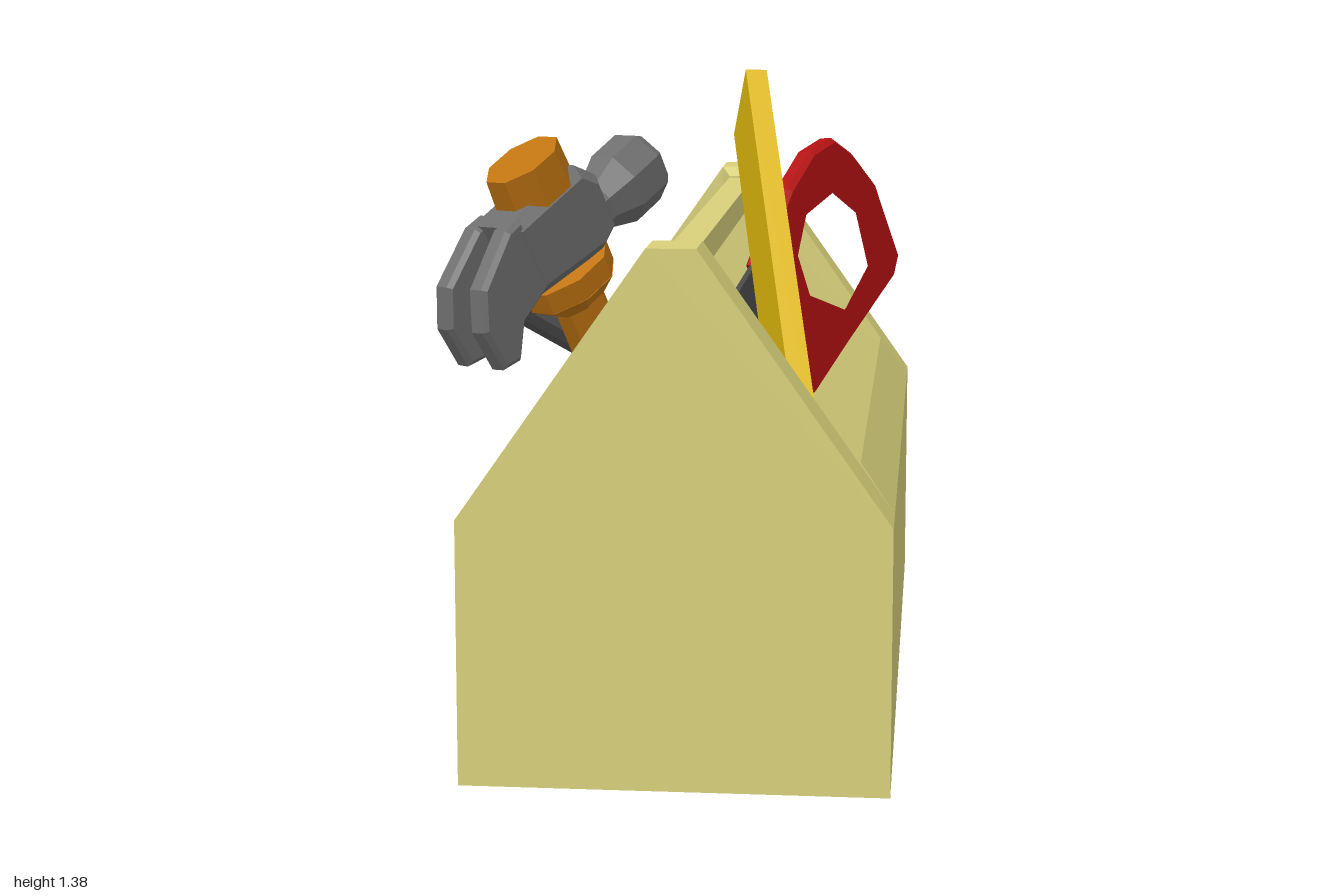
import * as THREE from 'three';

const mat = (name, color) => {
  const m = new THREE.MeshStandardMaterial({ color, flatShading: true });
  m.name = name;
  return m;
};

// Group whose local X runs along x and whose local Y lies closest to y
function frame(name, origin, x, y) {
  const X = new THREE.Vector3(...x).normalize();
  const Z = X.clone().cross(new THREE.Vector3(...y)).normalize();
  const Y = Z.clone().cross(X);
  const g = new THREE.Group();
  g.name = name;
  g.applyMatrix4(new THREE.Matrix4().makeBasis(X, Y, Z).setPosition(...origin));
  return g;
}

function add(parent, name, geometry, material, pos = [0, 0, 0]) {
  const m = new THREE.Mesh(geometry, material);
  m.name = name;
  m.position.set(...pos);
  parent.add(m);
  return m;
}

const pts = (list) => list.map(([x, y]) => new THREE.Vector2(x, y));

// Slab from an outline, centred on z = 0
function slab(outline, depth, hole, bevel = 0) {
  const s = new THREE.Shape(pts(outline));
  if (hole) s.holes.push(new THREE.Path(pts(hole)));
  const g = new THREE.ExtrudeGeometry(s, {
    depth: depth - 2 * bevel, bevelEnabled: bevel > 0, bevelThickness: bevel,
    bevelSize: bevel, bevelOffset: -bevel, bevelSegments: 1,
  });
  return g.translate(0, 0, bevel - depth / 2);
}

// Square bar along z, with half sizes scaled by the two radii
function bar(r1, r2, length) {
  return new THREE.CylinderGeometry(r1 * Math.SQRT2, r2 * Math.SQRT2, length, 4)
    .rotateY(Math.PI / 4).rotateX(Math.PI / 2);
}

export function createModel() {
  const model = new THREE.Group();
  model.name = 'toolbox';
  const wood = mat('pale wood', 0xd8d07a);
  const yellow = mat('ruler yellow', 0xdcb60e);
  const red = mat('saw red', 0xb31111);
  const blade = mat('blade grey', 0x474747);
  const steel = mat('hammer steel', 0x6e6e6e);
  const shaftGrey = mat('shaft grey', 0x565656);
  const orange = mat('handle orange', 0xc07412);
  const navy = mat('grip navy', 0x0e2c3c);

  // Box: two gabled ends joined by a trough
  const box = new THREE.Group();
  box.name = 'box';
  model.add(box);
  const gable = [[-0.38, 0], [0.495, 0], [0.495, 0.55], [0.105, 1.1], [0.005, 1.1], [-0.38, 0.55]];
  for (const s of [1, -1]) add(box, 'endWall', slab(gable, 0.142), wood, [0, 0, s * 0.929]);
  const trough = [[-0.38, 0], [0.495, 0], [0.495, 0.55], [0.425, 0.655], [0.425, 0.1],
    [-0.31, 0.1], [-0.31, 0.655], [-0.38, 0.55]];
  add(box, 'trough', slab(trough, 1.716), wood);

  // Carrying rail with flared ends
  add(box, 'rail', bar(0.031, 0.031, 1.7), wood, [0.055, 1.042, 0]);
  for (const s of [1, -1]) {
    const flare = bar(s > 0 ? 0.05 : 0.031, s > 0 ? 0.031 : 0.05, 0.03);
    add(box, 'railFlare', flare.scale(1, 1.15, 1), wood, [0.055, 1.042, s * 0.843]);
  }

  // Ruler leaning against the rail
  const ruler = frame('ruler', [0.215, 0.789, 0.024], [0.154, -0.673, 0.724], [-0.176, -0.739, -0.651]);
  add(ruler, 'rulerBar', new THREE.BoxGeometry(1.49, 0.23, 0.052), yellow);
  model.add(ruler);

  // Saw: x runs to the tip, y runs to the cutting edge
  const saw = frame('saw', [0.124, 0.91, -0.29], [-0.323, -0.532, 0.783], [0.32, -0.84, -0.438]);
  model.add(saw);
  add(saw, 'sawBlade', slab([[-0.03, 0], [1.32, 0], [1.32, 0.1], [-0.03, 0.4]], 0.016), blade);
  const grip = [[0, 0], [-0.236, -0.053], [-0.39, -0.055], [-0.503, -0.015], [-0.561, 0.075],
    [-0.605, 0.204], [-0.582, 0.428], [-0.52, 0.455], [-0.2, 0.425], [0, 0.41]];
  const gripHole = [[-0.14, 0.083], [-0.252, 0.029], [-0.405, 0.072], [-0.474, 0.193],
    [-0.428, 0.348], [-0.241, 0.355], [-0.118, 0.206]];
  add(saw, 'sawGrip', slab(grip, 0.055, gripHole, 0.012), red);

  // Hammer: x runs to the striking face, y runs up the handle
  const hammer = frame('hammer', [-0.26, 1.07, 0.455], [0.493, 0.472, -0.729], [-0.282, 0.881, 0.379]);
  model.add(hammer);
  const oval = (name, rTop, rBottom, h, y, squash) =>
    add(hammer, name, new THREE.CylinderGeometry(rTop, rBottom, h, 8).rotateY(Math.PI / 8)
      .scale(1, 1, squash), orange, [0, y, 0]);
  oval('hammerHandle', 0.062, 0.068, 0.96, -0.6, 0.9);
  oval('hammerCap', 0.1, 0.105, 0.09, 0.138, 0.7);
  oval('hammerCollar', 0.12, 0.12, 0.05, -0.115, 0.7);
  oval('hammerCollarTaper', 0.12, 0.07, 0.04, -0.16, 0.72);
  const body = [[-0.16, 0.115], [0.09, 0.115], [0.14, 0.06], [0.14, -0.07], [0.08, -0.095], [-0.15, -0.07]];
  add(hammer, 'hammerBody', slab(body, 0.14, null, 0.025), steel);
  const face = new THREE.LatheGeometry(
    pts([[0, 0.1], [0.06, 0.1], [0.06, 0.15], [0.09, 0.22], [0.09, 0.31], [0.075, 0.33], [0, 0.33]].reverse()), 8);
  add(hammer, 'hammerFace', face.rotateY(Math.PI / 8).rotateZ(-Math.PI / 2).scale(1, 1, 0.9), steel, [0, -0.03, 0])
    .material.side = THREE.DoubleSide;
  const claw = [[-0.12, 0.115], [-0.17, 0.115], [-0.298, 0.052], [-0.34, -0.028], [-0.328, -0.13],
    [-0.273, -0.143], [-0.22, -0.08], [-0.12, -0.06]];
  for (const s of [1, -1]) {
    const prong = add(hammer, 'hammerClaw', slab(claw, 0.05, null, 0.01), steel, [0, 0, s * 0.035]);
    prong.rotation.y = s * 0.05;
  }

  // Screwdriver: x runs to the tip
  const driver = frame('screwdriver', [-0.1, 0.6, -0.29], [-0.55, 0.464, 0.695], [0.3, 0.88, -0.35]);
  model.add(driver);
  const gripProfile = pts([[0, -0.45], [0.065, -0.45], [0.095, -0.4], [0.095, -0.2], [0.07, -0.17],
    [0.07, -0.13], [0.105, -0.1], [0.105, -0.03], [0.06, 0.01], [0, 0.01]]);
  add(driver, 'driverGrip', new THREE.LatheGeometry(gripProfile, 8).rotateZ(-Math.PI / 2), navy);
  add(driver, 'driverShaft', new THREE.CylinderGeometry(0.03, 0.03, 0.56, 8).rotateZ(-Math.PI / 2),
    shaftGrey, [0.27, 0, 0]);
  const tip = slab([[0.5, 0.028], [0.5, -0.028], [0.58, -0.05], [0.69, -0.04], [0.69, 0.04], [0.58, 0.05]], 0.03);
  add(driver, 'driverTip', tip, shaftGrey).rotation.x = Math.PI / 2;

  return model;
}
